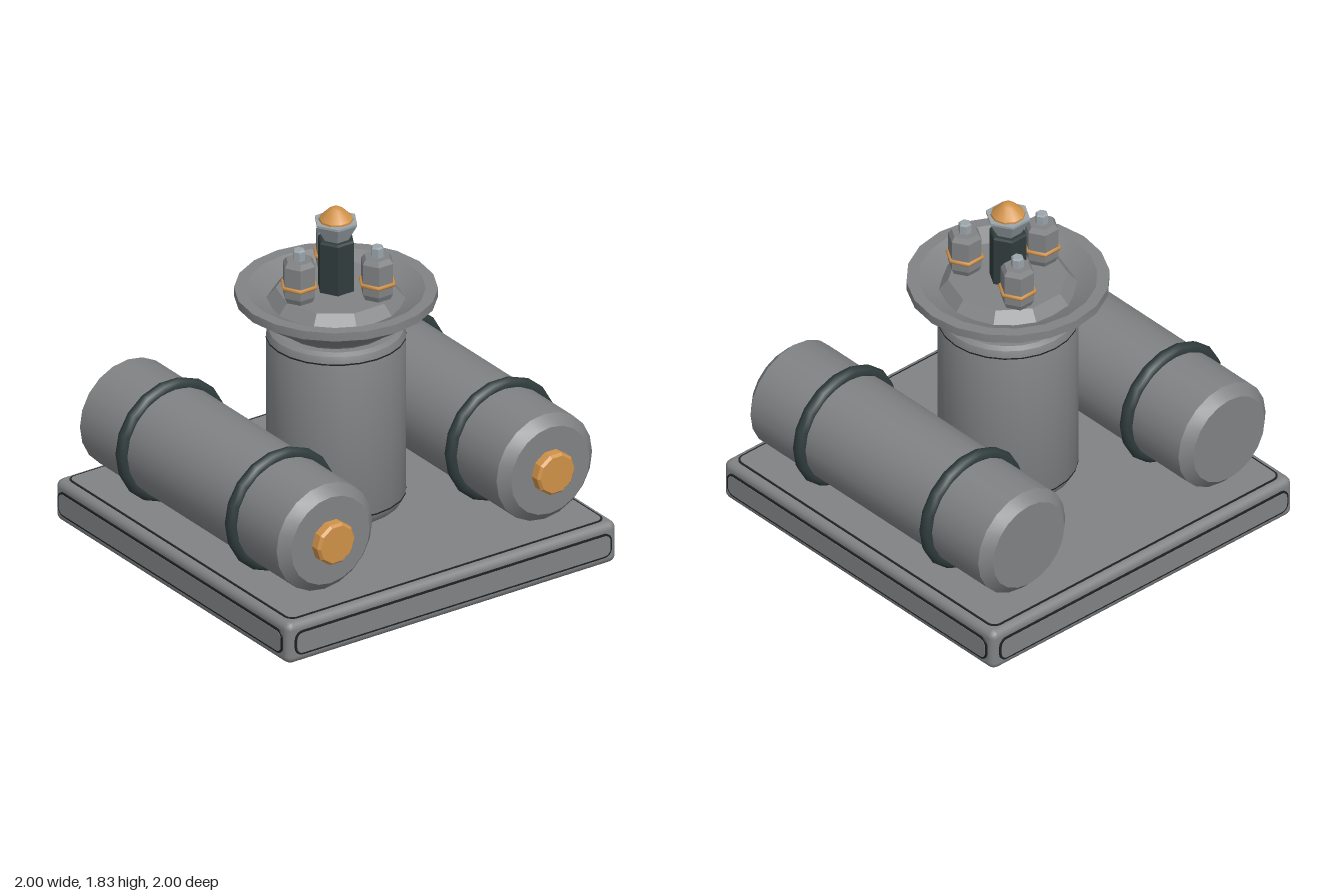
import * as THREE from 'three';
import { toCreasedNormals } from 'three/addons/utils/BufferGeometryUtils.js';
import { RoundedBoxGeometry } from 'three/addons/geometries/RoundedBoxGeometry.js';

const mat = (name, color) => {
  const m = new THREE.MeshStandardMaterial({ color });
  m.name = name;
  return m;
};

export function createModel() {
  const root = new THREE.Group();
  root.name = 'device';
  const steel = mat('steel grey', 0x808284);
  const rubber = mat('dark rubber', 0x303c3c);
  const groove = mat('groove black', 0x1f2222);
  const copper = mat('copper', 0xcf9148);
  const silver = mat('silver', 0x9aa4aa);

  const add = (parent, name, geometry, material, x = 0, y = 0, z = 0) => {
    const mesh = new THREE.Mesh(geometry, material);
    mesh.name = name;
    mesh.position.set(x, y, z);
    parent.add(mesh);
    return mesh;
  };
  // Turned part from [radius, height] points, first corner on the x axis
  const turned = (points, sides, crease = 0.5) => toCreasedNormals(
    new THREE.LatheGeometry(points.map(p => new THREE.Vector2(...p)), sides, Math.PI / 2), crease);
  const ring = (radius, tube, around, sides) => new THREE.TorusGeometry(radius, tube, sides, around);

  // Thin rounded plate centred on z = 0, rising along +z
  const plate = (w, h, r, depth) => {
    const s = new THREE.Shape();
    const x = w / 2, y = h / 2;
    s.absarc(x - r, y - r, r, 0, Math.PI / 2);
    s.absarc(-x + r, y - r, r, Math.PI / 2, Math.PI);
    s.absarc(-x + r, -y + r, r, Math.PI, Math.PI * 1.5);
    s.absarc(x - r, -y + r, r, Math.PI * 1.5, Math.PI * 2);
    return new THREE.ExtrudeGeometry(s, { depth, bevelEnabled: false, curveSegments: 4 });
  };
  // Inset panel: dark border with a steel face
  const panel = (parent, w, h, r) => {
    const g = new THREE.Group();
    g.name = 'panel';
    add(g, 'panelBorder', plate(w, h, r, 0.0075), groove);
    add(g, 'panelFace', plate(w - 0.02, h - 0.02, r - 0.01, 0.0095), steel);
    parent.add(g);
    return g;
  };

  // Base slab with panels on every face
  const base = new THREE.Group();
  base.name = 'base';
  root.add(base);
  add(base, 'slab', new RoundedBoxGeometry(1.981, 0.225, 1.981, 2, 0.04), steel, 0, 0.1175, 0);
  for (let i = 0; i < 4; i++) {
    const a = i * Math.PI / 2;
    const side = panel(base, 1.9, 0.13, 0.045);
    side.rotation.y = a;
    side.position.set(Math.sin(a) * 0.9905, 0.1175, Math.cos(a) * 0.9905);
  }
  const top = panel(base, 1.9, 1.9, 0.05);
  top.rotation.x = -Math.PI / 2;
  top.position.y = 0.2265;
  const bottom = panel(base, 1.9, 1.9, 0.05);
  bottom.rotation.x = Math.PI / 2;
  bottom.position.y = 0.0095;

  // Central column with fine seams
  add(root, 'column', turned([[0, 0.23], [0.31, 0.23], [0.33, 0.255], [0.345, 0.29], [0.345, 1.14],
    [0.333, 1.175], [0.31, 1.19], [0, 1.19]], 24), steel);
  for (const y of [0.292, 1.138]) {
    add(root, 'columnSeam', new THREE.CylinderGeometry(0.3465, 0.3465, 0.008, 24, 1, true, Math.PI / 2), groove, 0, y);
  }

  // Dish, open at the top, with a raised deck inside
  add(root, 'dish', turned([[0, 1.185], [0.27, 1.185], [0.28, 1.2], [0.5, 1.345], [0.5, 1.39],
    [0.44, 1.39], [0.33, 1.33], [0, 1.33]], 20, 0.4), steel);
  add(root, 'deck', turned([[0.35, 1.325], [0.295, 1.39], [0, 1.39]], 10, 0.2), steel);

  // Hexagonal terminals
  for (let i = 0; i < 3; i++) {
    const a = Math.PI + i * Math.PI * 2 / 3;
    const t = new THREE.Group();
    t.name = 'terminal';
    t.position.set(Math.cos(a) * 0.222, 1.39, Math.sin(a) * 0.222);
    root.add(t);
    add(t, 'terminalBody', turned([[0, 0], [0.072, 0], [0.086, 0.03], [0.086, 0.195],
      [0.068, 0.22], [0, 0.22]], 6, 0.2), steel);
    add(t, 'terminalRing', ring(0.089, 0.011, 6, 6), copper, 0, 0.083).rotation.x = Math.PI / 2;
    add(t, 'terminalPin', turned([[0.033, 0.21], [0.033, 0.268], [0.026, 0.276], [0, 0.276]], 6, 0.2), silver);
  }

  // Central post with a flared nut and domed tip
  add(root, 'post', turned([[0.096, 1.38], [0.096, 1.655], [0.088, 1.665], [0, 1.665]], 6, 0.2), rubber);
  add(root, 'flaredNut', turned([[0, 1.665], [0.067, 1.665], [0.114, 1.75], [0.114, 1.762], [0, 1.762]], 6, 0.2), silver);
  add(root, 'tip', turned([[0.085, 1.76], [0.085, 1.772], [0.035, 1.822], [0.018, 1.832], [0, 1.834]], 10, 0.5), copper);

  // Side cylinders with bands and front contacts
  for (const s of [-1, 1]) {
    const c = new THREE.Group();
    c.name = s > 0 ? 'leftCylinder' : 'rightCylinder';
    c.position.set(s * 0.66, 0.56, 0);
    root.add(c);
    add(c, 'cylinderBody', turned([[0, -0.885], [0.235, -0.885], [0.287, -0.833], [0.287, 0.833],
      [0.235, 0.885], [0, 0.885]], 20), steel).rotation.x = Math.PI / 2;
    for (const z of [-0.463, 0.463]) add(c, 'band', ring(0.294, 0.035, 18, 8), rubber, 0, 0, z);
    add(c, 'contact', turned([[0.113, 0.88], [0.113, 0.93], [0.1, 0.943], [0, 0.943]], 10, 0.4),
      copper).rotation.x = Math.PI / 2;
  }
  return root;
}
